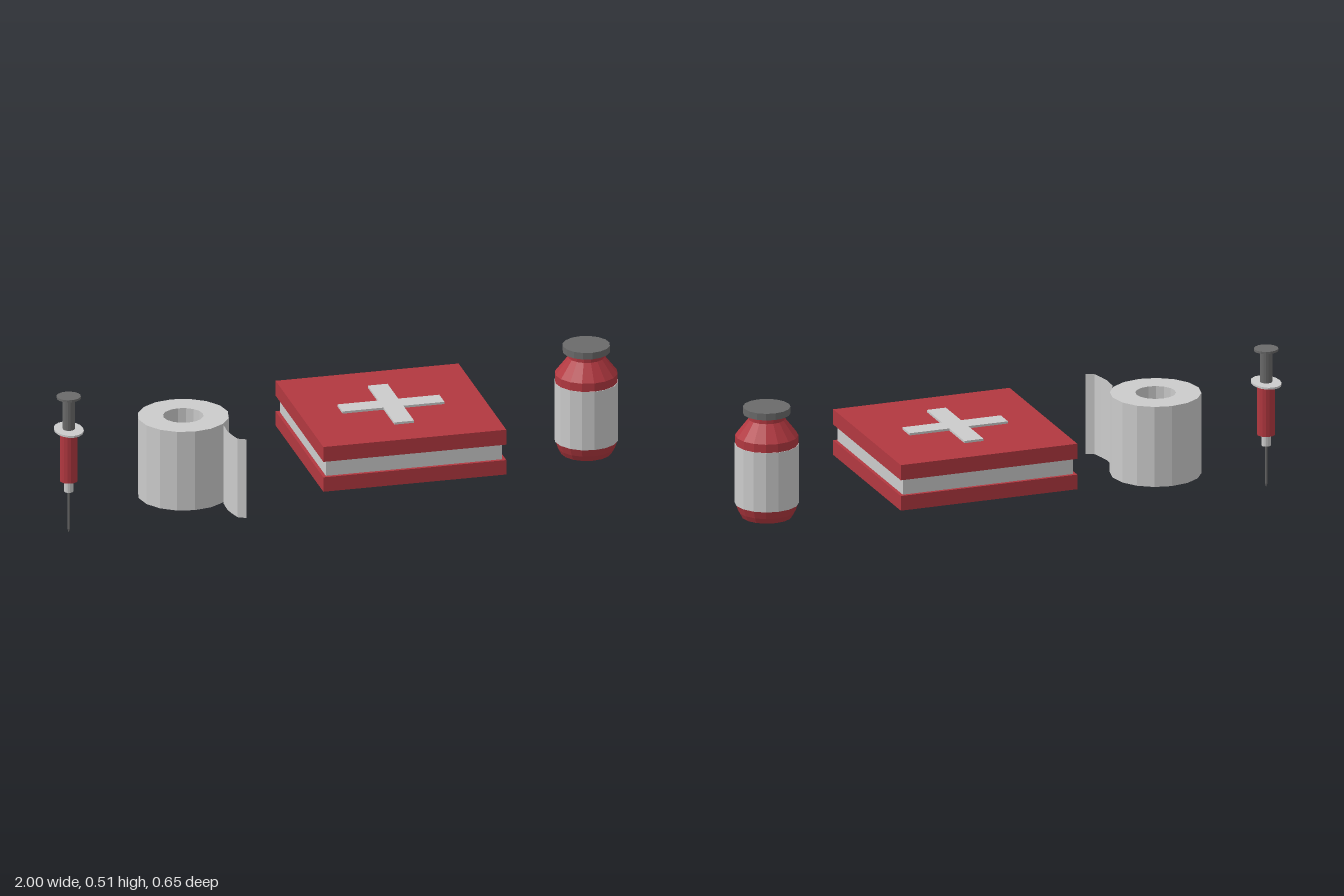
import * as THREE from 'three';

const material = (color, side = THREE.FrontSide) =>
  new THREE.MeshStandardMaterial({ color, side, flatShading: true });
const red = material(0xb23840);
const grey = material(0xcccccc);
const dark = material(0x6a6a6a);
const paper = material(0xcccccc, THREE.DoubleSide);

function add(parent, name, geometry, mat) {
  const mesh = new THREE.Mesh(geometry, mat);
  mesh.name = name;
  parent.add(mesh);
  return mesh;
}

function group(parent, name, x) {
  const g = new THREE.Group();
  g.name = name;
  g.position.x = x;
  parent.add(g);
  return g;
}

// Upright cylinder between two heights
function rod(parent, name, y0, y1, r0, r1, mat, sides = 16) {
  const mesh = add(parent, name, new THREE.CylinderGeometry(r1, r0, y1 - y0, sides), mat);
  mesh.position.y = (y0 + y1) / 2;
  return mesh;
}

// Box between two heights
function slab(parent, name, y0, y1, w, d, mat) {
  const mesh = add(parent, name, new THREE.BoxGeometry(w, y1 - y0, d), mat);
  mesh.position.y = (y0 + y1) / 2;
  return mesh;
}

function lathe(points, sides = 16) {
  return new THREE.LatheGeometry(points.map(([r, y]) => new THREE.Vector2(r, y)), sides);
}

function buildCase(parent) {
  const g = group(parent, 'firstAidCase', 0.195);
  slab(g, 'caseBottom', 0.19, 0.243, 0.65, 0.65, red);
  slab(g, 'caseBand', 0.243, 0.3, 0.626, 0.626, grey);
  slab(g, 'caseLid', 0.3, 0.355, 0.65, 0.65, red);

  // Raised cross on the lid
  const a = 0.035, b = 0.181;
  const cross = new THREE.Shape([
    [a, a], [a, b], [-a, b], [-a, a], [-b, a], [-b, -a],
    [-a, -a], [-a, -b], [a, -b], [a, -a], [b, -a], [b, a],
  ].map(([x, y]) => new THREE.Vector2(x, y)));
  const geometry = new THREE.ExtrudeGeometry(cross, { depth: 0.009, bevelEnabled: false });
  geometry.rotateX(-Math.PI / 2);
  add(g, 'cross', geometry, grey).position.y = 0.354;
}

function buildBottle(parent) {
  const g = group(parent, 'medicineBottle', 0.889);
  add(g, 'bottleBody', lathe([
    [0, 0.115], [0.088, 0.115], [0.099, 0.135], [0.109, 0.163],
    [0.109, 0.408], [0.063, 0.467], [0.063, 0.488],
  ]), red);
  add(g, 'bottleLabel', lathe([
    [0.108, 0.163], [0.111, 0.163], [0.111, 0.378], [0.108, 0.378],
  ]), grey);
  rod(g, 'bottleCap', 0.487, 0.511, 0.082, 0.082, dark);
}

function buildBandage(parent) {
  const g = group(parent, 'bandageRoll', -0.543);
  const low = 0.1, high = 0.39;
  add(g, 'roll', lathe([
    [0.07, low], [0.158, low], [0.158, high], [0.07, high], [0.07, low],
  ]), grey);

  // Loose end, a wavy strip leaving the front of the roll
  const path = [[0.125, 0.09], [0.111, 0.125], [0.109, 0.185], [0.116, 0.225], [0.125, 0.26], [0.153, 0.275]];
  const strip = new THREE.PlaneGeometry(1, 1, path.length - 1, 1);
  const p = strip.attributes.position;
  for (let i = 0; i < p.count; i++) {
    const [x, z] = path[i % path.length];
    p.setXYZ(i, x, i < path.length ? high : low, z);
  }
  strip.computeVertexNormals();
  add(g, 'looseEnd', strip, paper);
}

function buildSyringe(parent) {
  const g = group(parent, 'syringe', -0.95);
  rod(g, 'needleTip', 0, 0.012, 0.001, 0.0045, dark, 8);
  rod(g, 'needle', 0.012, 0.155, 0.0045, 0.0045, dark, 8);
  rod(g, 'needleHub', 0.15, 0.192, 0.016, 0.016, grey);
  rod(g, 'barrel', 0.19, 0.376, 0.031, 0.031, red);
  const flange = rod(g, 'fingerFlange', 0.374, 0.381, 0.05, 0.05, grey);
  flange.scale.z = 1.42;
  rod(g, 'plunger', 0.38, 0.495, 0.021, 0.021, dark);
  rod(g, 'thumbRest', 0.494, 0.502, 0.042, 0.042, dark);
}

export function createModel() {
  const model = new THREE.Group();
  model.name = 'medicalSupplies';
  buildCase(model);
  buildBottle(model);
  buildBandage(model);
  buildSyringe(model);
  return model;
}
